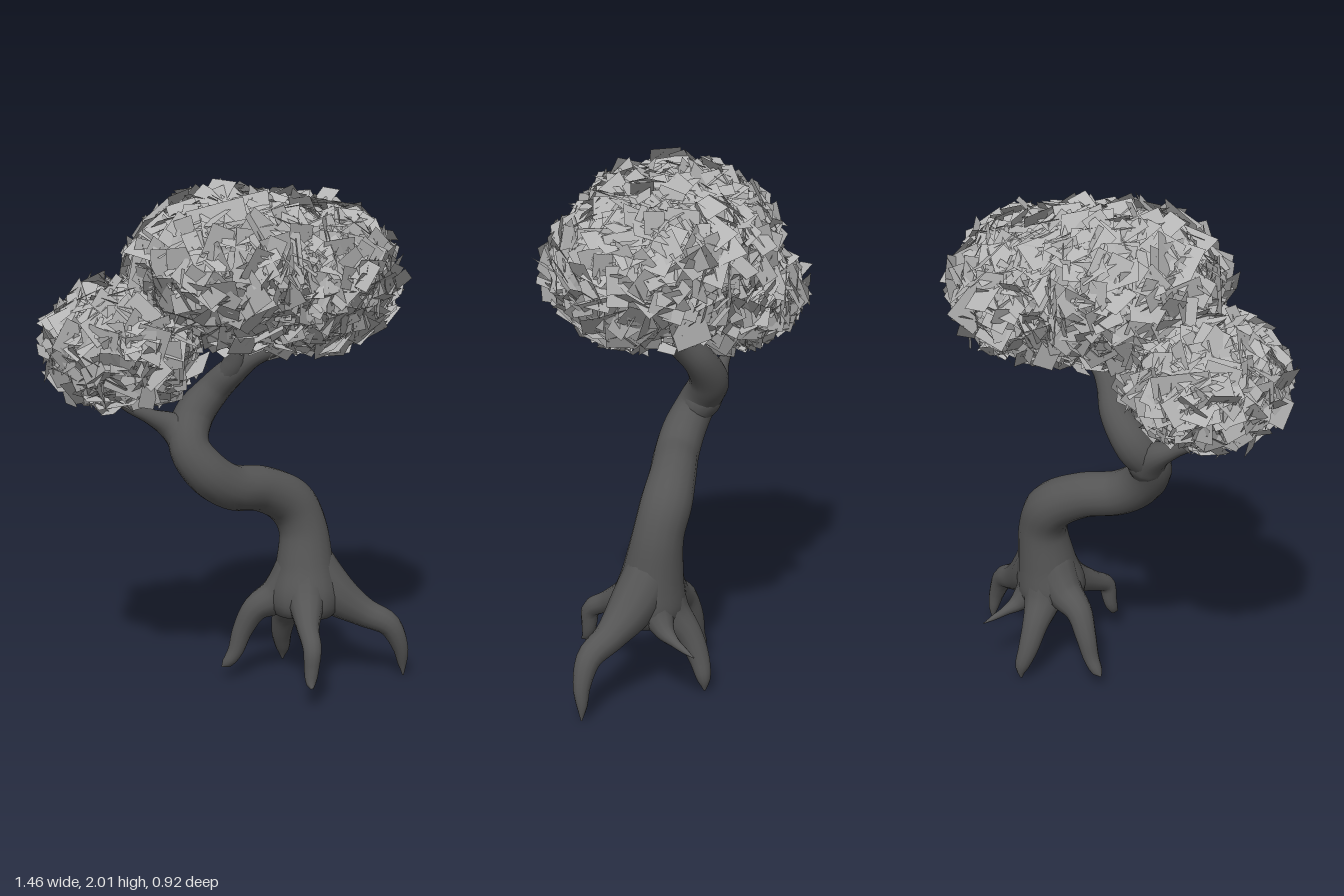
import * as THREE from 'three';
import { mergeGeometries, mergeVertices } from 'three/addons/utils/BufferGeometryUtils.js';

const bark = new THREE.MeshStandardMaterial({ color: 0x555555 });
const leaf = new THREE.MeshStandardMaterial({ color: 0xb4b4b4, side: THREE.DoubleSide });

// Seeded random numbers in 0..1
let seed = 7;
function rand() {
  seed = (seed * 16807) % 2147483647;
  return seed / 2147483647;
}
const spread = (a) => (rand() * 2 - 1) * a;

// Tapering smooth limb through points [x, y, z, radius]
function limb(name, pts, segments = 28, sides = 14) {
  const curve = new THREE.CatmullRomCurve3(pts.map((p) => new THREE.Vector3(p[0], p[1], p[2])), false, 'catmullrom');
  const radii = new THREE.SplineCurve(pts.map((p, i) => new THREE.Vector2(i, p[3])));
  const tube = new THREE.TubeGeometry(curve, segments, 1, sides);
  const pos = tube.attributes.position, nor = tube.attributes.normal;
  const n = new THREE.Vector3(), c = new THREE.Vector3();
  for (let i = 0; i <= segments; i++) {
    const t = curve.getUtoTmapping(i / segments);
    curve.getPoint(t, c);
    const r = Math.max(0.001, radii.getPoint(t).y);
    for (let j = 0; j <= sides; j++) {
      const k = i * (sides + 1) + j;
      n.fromBufferAttribute(nor, k).multiplyScalar(r).add(c);
      pos.setXYZ(k, n.x, n.y, n.z);
    }
  }
  tube.deleteAttribute('normal');
  tube.deleteAttribute('uv');
  const geo = mergeVertices(tube, 1e-5);
  geo.computeVertexNormals();
  const mesh = new THREE.Mesh(geo, bark);
  mesh.name = name;
  return mesh;
}

// Ellipsoid of loose rectangular leaf cards lying roughly along its surface
function leafCluster(name, centre, radius, count) {
  const cards = [];
  const o = new THREE.Object3D();
  const size = new THREE.Vector3(...radius);
  for (let i = 0; i < count; i++) {
    const y = 1 - (2 * (i + 0.5)) / count;
    const a = i * 2.39996 + spread(0.2);
    const h = Math.sqrt(1 - y * y);
    const dir = new THREE.Vector3(h * Math.cos(a), y, h * Math.sin(a));
    const normal = dir.clone().divide(size).normalize();
    normal.add(new THREE.Vector3(spread(0.55), spread(0.55), spread(0.55)));
    o.position.copy(dir).multiply(size).multiplyScalar(0.87 + rand() * 0.11);
    o.lookAt(o.position.clone().add(normal));
    o.rotateZ(rand() * Math.PI * 2);
    o.updateMatrix();
    const card = new THREE.PlaneGeometry(0.09 + rand() * 0.13, 0.06 + rand() * 0.07);
    cards.push(card.applyMatrix4(o.matrix));
  }
  const mesh = new THREE.Mesh(mergeGeometries(cards), leaf);
  mesh.name = name;
  mesh.position.set(...centre);
  return mesh;
}

export function createModel() {
  const tree = new THREE.Group();
  tree.name = 'tree';

  // S-shaped trunk running on into the main branch
  tree.add(limb('trunk', [
    [0.30, 0.255, -0.05, 0.0], [0.30, 0.275, -0.05, 0.11], [0.305, 0.35, -0.06, 0.14],
    [0.31, 0.47, -0.08, 0.118], [0.305, 0.62, -0.10, 0.098], [0.25, 0.73, -0.10, 0.098],
    [0.13, 0.80, -0.05, 0.09], [0.0, 0.83, 0.02, 0.088], [-0.10, 0.90, 0.05, 0.086],
    [-0.165, 1.0, 0.03, 0.078], [-0.14, 1.10, -0.04, 0.078], [-0.06, 1.20, -0.05, 0.064],
    [0.01, 1.28, -0.01, 0.055], [0.08, 1.335, 0.01, 0.042], [0.17, 1.365, 0.01, 0.03],
    [0.28, 1.40, 0.0, 0.022], [0.42, 1.52, -0.03, 0.0],
  ], 90, 16));

  // Smaller branches
  tree.add(limb('leftBranch', [
    [-0.13, 0.93, 0.04, 0.05], [-0.165, 1.015, 0.01, 0.078], [-0.23, 1.072, -0.01, 0.055],
    [-0.31, 1.115, 0.01, 0.03], [-0.42, 1.175, 0.04, 0.014], [-0.46, 1.26, 0.05, 0.0],
  ]));
  tree.add(limb('upperBranch', [
    [-0.03, 1.23, -0.03, 0.045], [0.01, 1.31, 0.01, 0.045], [0.01, 1.38, 0.03, 0.028], [0.0, 1.55, 0.04, 0.0],
  ]));

  // Roots flowing out of the trunk, fanning out and curling down
  const roots = {
    leftRoot: [[0.31, 0.62, -0.09, 0.06], [0.34, 0.48, -0.08, 0.092], [0.42, 0.365, -0.06, 0.09], [0.54, 0.28, -0.04, 0.06],
      [0.64, 0.23, -0.02, 0.048], [0.69, 0.14, -0.02, 0.034], [0.705, 0.06, -0.03, 0.02], [0.71, 0.005, -0.03, 0.003]],
    rightRoot: [[0.30, 0.60, -0.09, 0.06], [0.28, 0.46, -0.08, 0.092], [0.205, 0.355, -0.085, 0.076], [0.115, 0.30, -0.09, 0.054],
      [0.065, 0.21, -0.10, 0.042], [0.035, 0.12, -0.10, 0.032], [0.0, 0.07, -0.10, 0.022], [-0.02, 0.055, -0.10, 0.003]],
    frontRoot: [[0.305, 0.62, -0.09, 0.06], [0.305, 0.47, -0.06, 0.09], [0.295, 0.355, 0.03, 0.072], [0.28, 0.285, 0.15, 0.044],
      [0.28, 0.235, 0.235, 0.037], [0.275, 0.16, 0.25, 0.03], [0.27, 0.11, 0.265, 0.022], [0.27, 0.09, 0.29, 0.004]],
    backRoot: [[0.305, 0.60, -0.10, 0.06], [0.30, 0.44, -0.10, 0.085], [0.28, 0.32, -0.13, 0.08], [0.255, 0.23, -0.20, 0.054],
      [0.25, 0.14, -0.245, 0.042], [0.26, 0.06, -0.275, 0.028], [0.26, 0.01, -0.28, 0.004]],
    thinRoot: [[0.31, 0.50, -0.09, 0.06], [0.34, 0.36, -0.11, 0.078], [0.375, 0.28, -0.17, 0.042], [0.395, 0.25, -0.23, 0.02],
      [0.41, 0.232, -0.29, 0.011], [0.42, 0.22, -0.335, 0.002]],
  };
  for (const [name, pts] of Object.entries(roots)) tree.add(limb(name, pts, 28, 12));

  // Leaf canopy: two big lobes bridged on top, and a lower one to the side
  tree.add(leafCluster('middleFoliage', [-0.01, 1.68, 0.03], [0.37, 0.28, 0.38], 1000));
  tree.add(leafCluster('bridgeFoliage', [0.17, 1.655, -0.02], [0.32, 0.285, 0.335], 600));
  tree.add(leafCluster('leftFoliage', [0.325, 1.63, -0.06], [0.31, 0.275, 0.355], 900));
  tree.add(leafCluster('rightFoliage', [-0.42, 1.405, 0.05], [0.27, 0.222, 0.295], 700));
  return tree;
}
